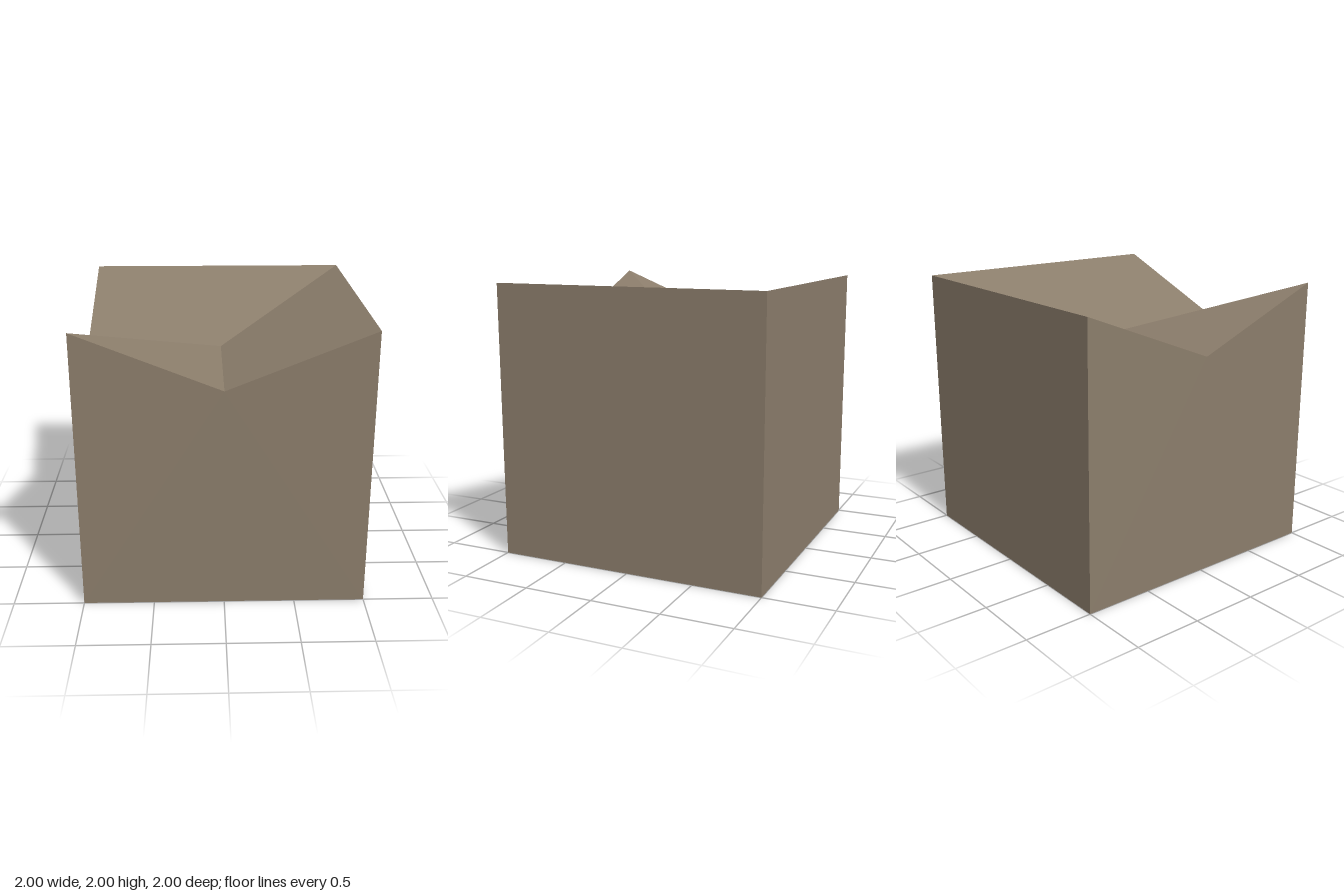
import * as THREE from 'three';

const EDGE = 2;     // height of the block and its outer roof edges
const VALLEY = 1.6; // height of the L-shaped valley

// Flat-shaded geometry from outward-facing polygons, each fanned from its first corner
function facets(polygons) {
  const positions = [];
  for (const poly of polygons) {
    for (let i = 1; i < poly.length - 1; i++) {
      positions.push(...poly[0], ...poly[i], ...poly[i + 1]);
    }
  }
  const geometry = new THREE.BufferGeometry();
  geometry.setAttribute('position', new THREE.Float32BufferAttribute(positions, 3));
  geometry.computeVertexNormals();
  return geometry;
}

export function createModel() {
  const stone = new THREE.MeshStandardMaterial({ color: 0x8b7d6b });
  stone.name = 'stone';

  // Corners of the base and of the roof rim
  const corners = [[-1, -1], [1, -1], [1, 1], [-1, 1]];
  const [a, b, c, d] = corners.map(([x, z]) => [x, 0, z]);
  const [A, B, C, D] = corners.map(([x, z]) => [x, EDGE, z]);

  // Valley: front edge, bend in the middle, side edge
  const front = [0, VALLEY, 1];
  const bend = [0, VALLEY, 0];
  const side = [-1, VALLEY, 0];

  const parts = {
    walls: [
      [front, D, d, c, C],
      [side, A, a, d, D],
      [C, c, b, B],
      [B, b, a, A],
    ],
    base: [[a, b, c, d]],
    outerSlopes: [
      [bend, B, A, side],
      [bend, front, C, B],
    ],
    innerSlopes: [
      [bend, side, D],
      [bend, D, front],
    ],
  };

  const group = new THREE.Group();
  group.name = 'valleyCornerBlock';
  for (const [name, polygons] of Object.entries(parts)) {
    const mesh = new THREE.Mesh(facets(polygons), stone);
    mesh.name = name;
    group.add(mesh);
  }
  return group;
}
